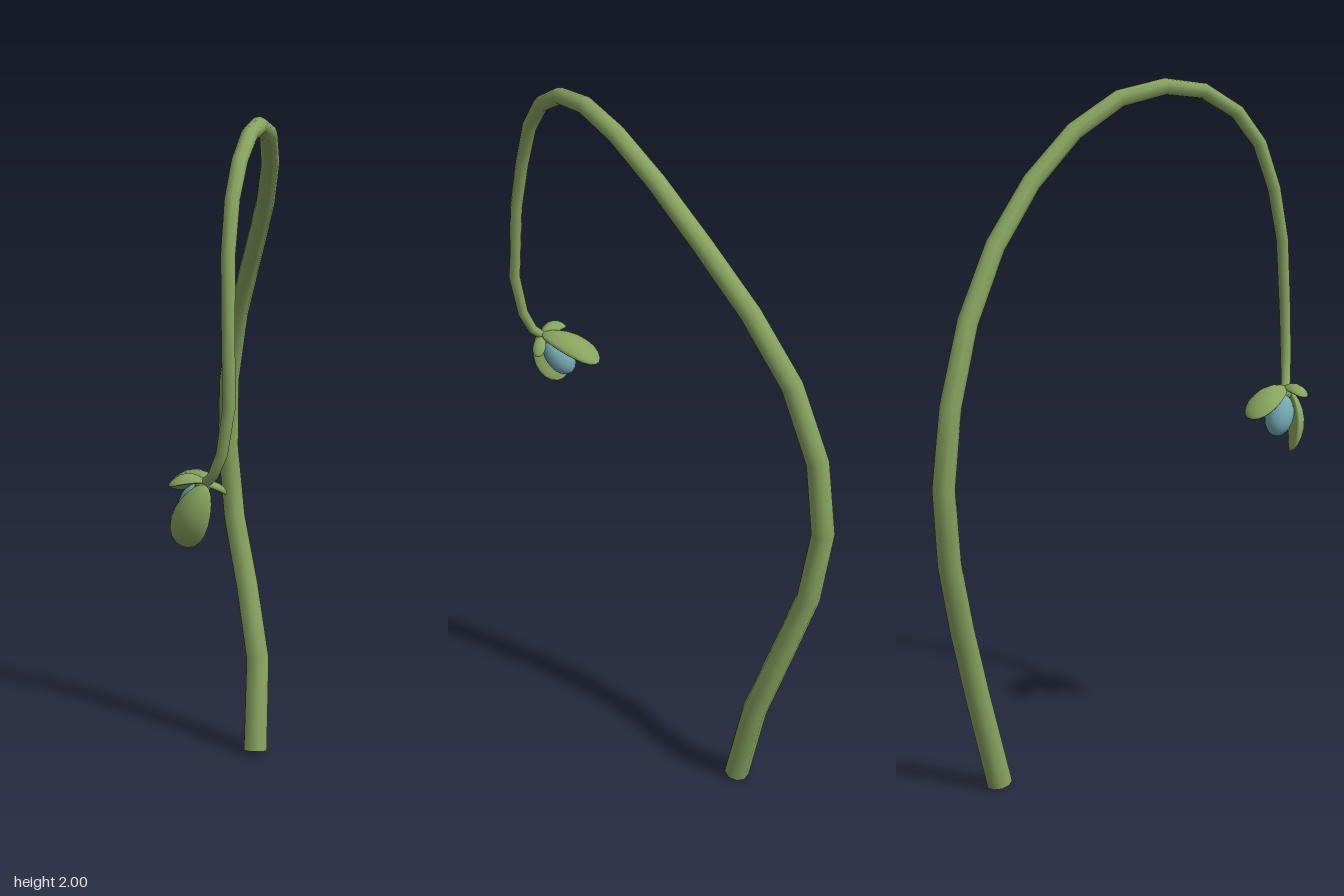
import * as THREE from 'three';

const green = new THREE.MeshStandardMaterial({ color: 0x88a35f });
const blue = new THREE.MeshStandardMaterial({ color: 0x72a9b0 });
const V = (x, y, z) => new THREE.Vector3(x, y, z);

// Centre line of the stem from the ground to the flower
const path = [
  [-0.165, 0.01, -0.357], [-0.2, 0.29, -0.41], [-0.265, 0.51, -0.436], [-0.33, 0.72, -0.452],
  [-0.36, 0.94, -0.456], [-0.34, 1.16, -0.437], [-0.272, 1.38, -0.4], [-0.17, 1.57, -0.343],
  [-0.06, 1.73, -0.262], [0.04, 1.86, -0.16], [0.125, 1.945, -0.045], [0.19, 1.975, 0.075],
  [0.245, 1.96, 0.18], [0.287, 1.9, 0.27], [0.315, 1.81, 0.333], [0.337, 1.68, 0.375],
  [0.358, 1.53, 0.4], [0.371, 1.3, 0.412], [0.352, 1.18, 0.417], [0.325, 1.12, 0.42],
  [0.29, 1.09, 0.42],
].map(p => V(...p));

// Tapering tube with one ring at each path point
function createStem() {
  const group = new THREE.Group();
  group.name = 'stem';
  const curve = new THREE.CatmullRomCurve3(path);
  curve.getPointAt = curve.getPoint;
  curve.getTangentAt = curve.getTangent;
  const rings = path.length - 1, sides = 9;
  const radius = t => THREE.MathUtils.lerp(0.037, 0.013, t);
  const geo = new THREE.TubeGeometry(curve, rings, 1, sides);
  const pos = geo.attributes.position, n = V(0, 0, 0);
  for (let i = 0; i < pos.count; i++) {
    const ring = Math.floor(i / (sides + 1));
    n.fromBufferAttribute(geo.attributes.normal, i).multiplyScalar(radius(ring / rings)).add(path[ring]);
    pos.setXYZ(i, n.x, n.y, n.z);
  }
  const stalk = new THREE.Mesh(geo, green);
  stalk.name = 'stalk';
  const cap = new THREE.Mesh(new THREE.CircleGeometry(radius(0), sides), green);
  cap.name = 'stalkBase';
  cap.position.copy(path[0]);
  cap.quaternion.setFromUnitVectors(V(0, 0, 1), curve.getTangent(0).negate());
  group.add(stalk, cap);
  return group;
}

// Plump leaf running from base to tip, arched towards its outer side
function createPetal(name, base, tip, outer, width, thickness, arch) {
  const along = tip.clone().sub(base), length = along.length();
  along.normalize();
  const across = outer.clone().cross(along).normalize();
  const up = along.clone().cross(across);
  const geo = new THREE.SphereGeometry(1, 14, 10);
  const pos = geo.attributes.position;
  for (let i = 0; i < pos.count; i++) {
    const y = pos.getY(i), x = pos.getX(i), z = pos.getZ(i);
    const w = 1 + 0.2 * y;
    const bulge = arch * (1 - y * y) - arch * 0.5 * x * x;
    pos.setXYZ(i, x * width / 2 * w, y * length / 2, z * thickness / 2 + bulge);
  }
  geo.computeVertexNormals();
  // Local x is across, y is along, z is the outer side
  const basis = new THREE.Matrix4().makeBasis(along.clone().cross(up), along, up);
  geo.applyMatrix4(basis);
  const mesh = new THREE.Mesh(geo, green);
  mesh.name = name;
  mesh.position.copy(base).lerp(tip, 0.5);
  return mesh;
}

function createFlower() {
  const flower = new THREE.Group();
  flower.name = 'flower';

  // Blue bud between the petals
  const bud = new THREE.Mesh(new THREE.SphereGeometry(1, 16, 12), blue);
  bud.name = 'bud';
  bud.scale.set(0.042, 0.064, 0.042);
  bud.position.set(0.25, 1.03, 0.407);
  bud.quaternion.setFromUnitVectors(V(0, 1, 0), V(0.5, 0.85, 0.15).normalize());

  // Small knob joining stem and petals
  const knob = new THREE.Mesh(new THREE.SphereGeometry(0.021, 12, 8), green);
  knob.name = 'calyx';
  knob.position.set(0.29, 1.088, 0.42);

  flower.add(
    bud, knob,
    createPetal('frontPetal', V(0.308, 1.095, 0.43), V(0.238, 0.925, 0.445), V(0.35, 0, 0.93), 0.1, 0.035, 0.025),
    createPetal('sidePetal', V(0.298, 1.105, 0.415), V(0.14, 1.04, 0.335), V(-0.3, 0.93, -0.2), 0.1, 0.035, 0.022),
    createPetal('smallFrontPetal', V(0.3, 1.098, 0.415), V(0.228, 1.09, 0.482), V(-0.1, 0.97, 0.15), 0.055, 0.02, 0.018),
    createPetal('smallBackPetal', V(0.298, 1.095, 0.425), V(0.318, 1.06, 0.36), V(0.2, 0.9, -0.3), 0.04, 0.02, 0.008),
  );
  return flower;
}

export function createModel() {
  const model = new THREE.Group();
  model.name = 'droopingFlower';
  model.add(createStem(), createFlower());
  return model;
}
